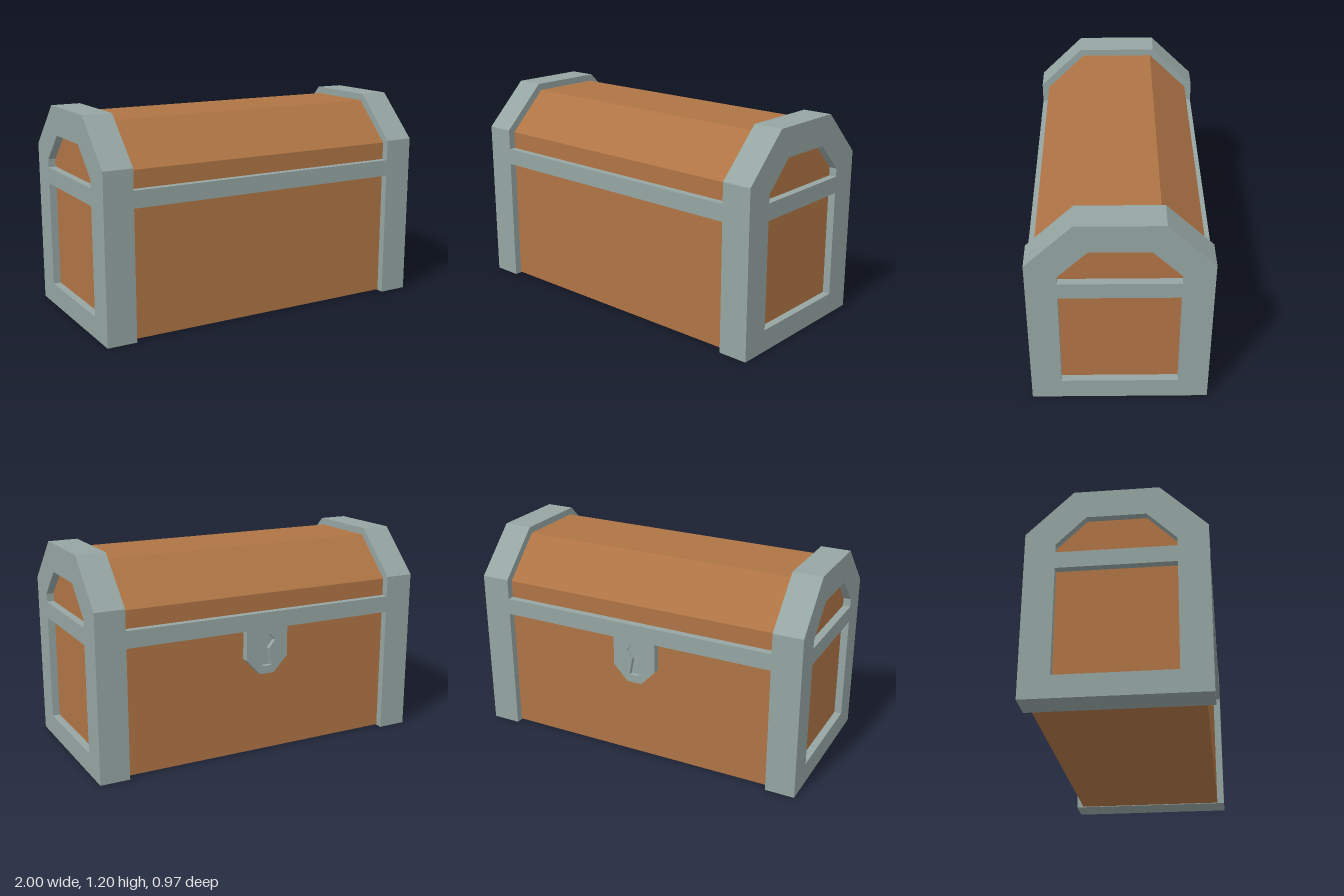
import * as THREE from 'three';

const metal = new THREE.MeshStandardMaterial({ color: 0x95a5a2 });
metal.name = 'grey metal';
const wood = new THREE.MeshStandardMaterial({ color: 0xaf7445 });
wood.name = 'brown wood';

// Mirror a half outline (listed bottom to top on the + side) into a closed list of points
function mirrored(half) {
  const left = half.map(([s, y]) => [-s, y]).reverse();
  return [...half, ...left].map(([s, y]) => new THREE.Vector2(s, y));
}

function extrude(outline, holes, depth) {
  const shape = new THREE.Shape(mirrored(outline));
  for (const hole of holes) shape.holes.push(new THREE.Path(mirrored(hole)));
  return new THREE.ExtrudeGeometry(shape, { depth, bevelEnabled: false });
}

function addPart(group, name, geometry, material, x = 0, y = 0, z = 0) {
  const mesh = new THREE.Mesh(geometry, material);
  mesh.name = name;
  mesh.position.set(x, y, z);
  group.add(mesh);
  return mesh;
}

export function createModel() {
  const chest = new THREE.Group();
  chest.name = 'chest';

  // Wooden body and chamfered lid, one core running the length of the chest
  const core = extrude([[0.443, 0.004], [0.443, 0.93], [0.212, 1.16]], [], 1.914);
  core.translate(0, 0, -0.957).rotateY(Math.PI / 2);
  addPart(chest, 'woodenBody', core, wood);

  // Metal end frames with a square lower opening and a chamfered upper one
  const lowerOpening = [[0.32, 0.125], [0.32, 0.735]];
  const upperOpening = [[0.32, 0.83], [0.32, 0.877], [0.16, 1.037]];
  const frame = extrude([[0.485, 0], [0.485, 0.947], [0.23, 1.2]], [lowerOpening, upperOpening], 0.17);
  frame.translate(0, 0, -0.085).rotateY(Math.PI / 2);
  for (const side of [-1, 1]) {
    addPart(chest, side > 0 ? 'leftEndFrame' : 'rightEndFrame', frame, metal, side * 0.915);
  }

  // Metal rails along the lid seam, front and back
  for (const side of [-1, 1]) {
    addPart(chest, side > 0 ? 'frontRail' : 'backRail',
      new THREE.BoxGeometry(1.66, 0.095, 0.065), metal, 0, 0.7825, side * 0.4525);
  }

  // Lock on the back: pierced face plate over a solid backing
  const plate = [[0.045, 0.475], [0.13, 0.565], [0.13, 0.735]];
  const keyhole = [[0.03, 0.52], [0.012, 0.62], [0.05, 0.665], [0.02, 0.703]];
  const lock = new THREE.Group();
  lock.name = 'lock';
  lock.position.x = -0.013;
  addPart(lock, 'lockFace', extrude(plate, [keyhole], 0.025), metal, 0, 0, -0.485);
  addPart(lock, 'lockBacking', extrude(plate, [], 0.03), metal, 0, 0, -0.46);
  chest.add(lock);

  return chest;
}
